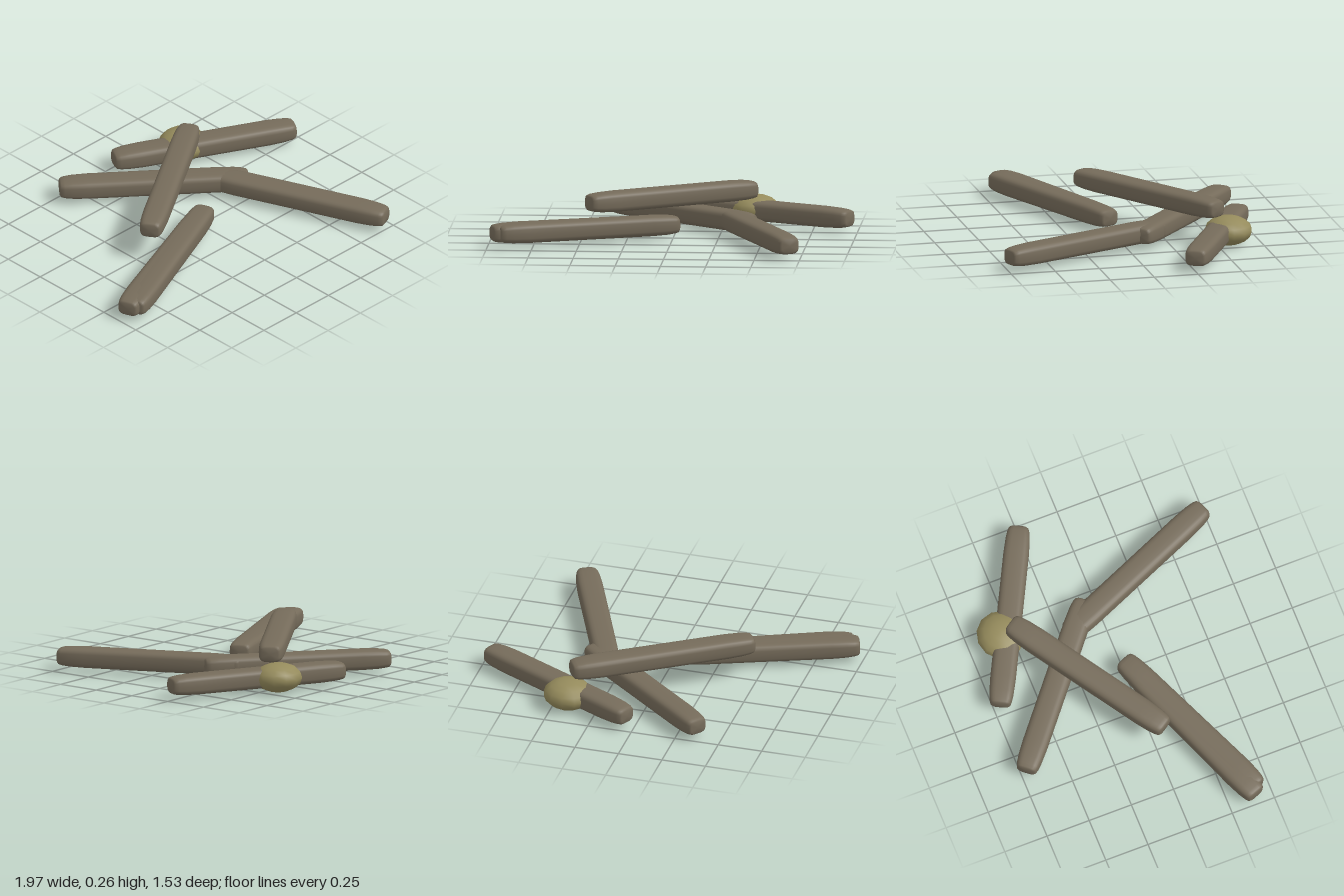
import * as THREE from 'three';
import { mergeVertices } from 'three/addons/utils/BufferGeometryUtils.js';

const LENGTH = 1.05, HALF_HEIGHT = 0.056, HALF_WIDTH = 0.071;

// A squared-off log along x: a turned profile pressed into a rounded rectangle
function logGeometry() {
  const end = [[0, 0], [0.62, 0.002], [0.78, 0.01], [0.87, 0.03], [0.95, 0.075], [1, 0.16]];
  const half = LENGTH / 2;
  const profile = [
    ...end.map(([r, d]) => new THREE.Vector2(r, d - half)),
    new THREE.Vector2(1, 0),
    ...end.slice().reverse().map(([r, d]) => new THREE.Vector2(r, half - d)),
  ];
  let geo = new THREE.LatheGeometry(profile, 24);
  const pos = geo.attributes.position;
  const square = (v) => Math.sign(v) * Math.sqrt(Math.abs(v)) ** 1.15;
  for (let i = 0; i < pos.count; i++) {
    const x = pos.getX(i), z = pos.getZ(i);
    const r = Math.hypot(x, z);
    if (r < 1e-6) continue;
    pos.setX(i, square(x / r) * r * HALF_HEIGHT);
    pos.setZ(i, square(z / r) * r * HALF_WIDTH);
  }
  geo.deleteAttribute('uv');
  geo.deleteAttribute('normal');
  geo = mergeVertices(geo, 1e-5);
  geo.rotateZ(Math.PI / 2);
  geo.computeVertexNormals();
  return geo;
}

export function createModel() {
  const group = new THREE.Group();
  const bark = new THREE.MeshStandardMaterial({ color: 0x756b5a });
  bark.name = 'bark brown';
  const moss = new THREE.MeshStandardMaterial({ color: 0x958b5c });
  moss.name = 'olive';

  // Scattered logs: name, end points in x and z, height of the centre
  const logs = [
    ['frontLog', -0.975, 0.405, 0.003, 0.02, 0.08],
    ['frontLogTwin', -0.936, 0.425, 0.028, 0.008, 0.081],
    ['backLog', -0.38, -0.73, 0.43, -0.06, 0.08],
    ['sideLog', 0.695, 0.745, 0.29, -0.21, 0.081],
    ['cornerLog', 0.03, -0.72, 0.965, -0.24, 0.08],
    ['topLog', -0.462, 0.065, 0.415, -0.508, 0.2],
  ];
  const geo = logGeometry();
  for (const [name, x0, z0, x1, z1, y] of logs) {
    const log = new THREE.Mesh(geo, bark);
    log.name = name;
    log.position.set((x0 + x1) / 2, y, (z0 + z1) / 2);
    log.rotation.y = Math.atan2(z0 - z1, x1 - x0);
    group.add(log);
  }

  // Flattened lump on the corner log
  const lump = new THREE.Mesh(new THREE.SphereGeometry(1, 12, 8), moss);
  lump.name = 'lump';
  lump.scale.set(0.14, 0.081, 0.132);
  lump.position.set(0.415, 0.081, -0.566);
  group.add(lump);

  return group;
}
